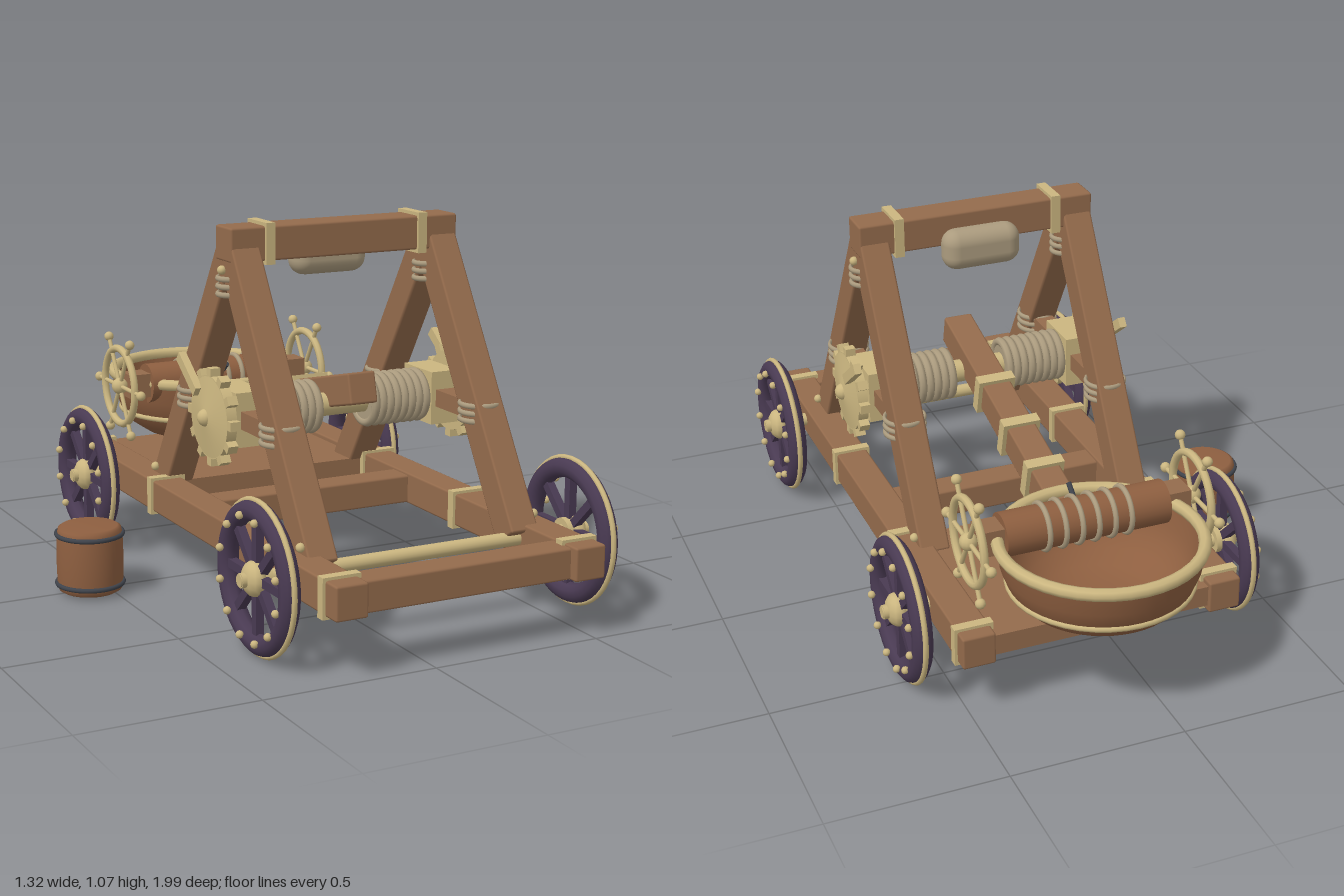
import * as THREE from 'three';
import { RoundedBoxGeometry } from 'three/addons/geometries/RoundedBoxGeometry.js';

const mat = (name, color, side = THREE.FrontSide) => {
  const m = new THREE.MeshStandardMaterial({ color, side });
  m.name = name;
  return m;
};

export function createModel() {
  const wood = mat('timber', 0x946b4c);
  const turned = mat('turned wood', 0x8e5f40, THREE.DoubleSide);
  const brass = mat('brass', 0xcbb680);
  const rope = mat('rope', 0xab9b7e);
  const purple = mat('dark purple', 0x493a52);
  const iron = mat('dark iron', 0x3f434b);

  const root = new THREE.Group();
  root.name = 'siegeEngine';
  const engine = new THREE.Group();
  engine.name = 'engine';
  engine.position.x = 0.117;
  root.add(engine);

  const put = (parent, name, geo, material, x = 0, y = 0, z = 0, rx = 0) => {
    const m = new THREE.Mesh(geo, material);
    m.name = name;
    m.position.set(x, y, z);
    m.rotation.x = rx;
    parent.add(m);
    return m;
  };
  const beam = (w, h, d) => new RoundedBoxGeometry(w, h, d, 1, 0.007);
  const box = (w, h, d) => new THREE.BoxGeometry(w, h, d);
  const ball = (r) => new THREE.SphereGeometry(r, 12, 8);
  const rod = (r, len, seg = 20) => new THREE.CylinderGeometry(r, r, len, seg).rotateZ(Math.PI / 2);
  const ringX = (r, t) => new THREE.TorusGeometry(r, t, 8, 40).rotateY(Math.PI / 2);
  const ringY = (r, t) => new THREE.TorusGeometry(r, t, 8, 40).rotateX(Math.PI / 2);
  const group = (name, x, y, z) => {
    const g = new THREE.Group();
    g.name = name;
    g.position.set(x, y, z);
    engine.add(g);
    return g;
  };

  // Chassis: side rails, cross beams, rear deck
  for (const s of [-1, 1]) {
    put(engine, 'sideRail', beam(0.095, 0.095, 1.73), wood, s * 0.362, 0.212, 0.13);
    for (const z of [0.925, 0.38, -0.15, -0.68])
      put(engine, 'railBand', box(0.111, 0.111, 0.028), brass, s * 0.362, 0.212, z);
  }
  put(engine, 'frontCrossBeam', beam(0.64, 0.088, 0.09), wood, 0, 0.21, 0.925);
  put(engine, 'middleCrossBeam', beam(0.64, 0.085, 0.09), wood, 0, 0.21, 0.08);
  put(engine, 'rearDeck', box(0.64, 0.06, 0.57), wood, 0, 0.215, -0.44);

  // Axles and wheels
  for (const z of [0.717, -0.46]) {
    put(engine, 'axle', rod(0.02, 1.08), brass, 0, 0.215, z);
    for (const s of [-1, 1]) {
      const w = group('wheel', s * 0.488, 0.215, z);
      put(w, 'wheelRim', new THREE.TorusGeometry(0.178, 0.029, 10, 48).rotateY(Math.PI / 2), purple);
      put(w, 'wheelTyre', ringX(0.206, 0.008), brass);
      put(w, 'wheelHub', rod(0.038, 0.056), brass);
      put(w, 'hubDome', ball(0.048), brass, s * 0.012).scale.x = 0.65;
      put(w, 'axleCap', rod(0.017, 0.03), brass, s * 0.04);
      for (let i = 0; i < 8; i++) {
        const a = (i * Math.PI) / 4;
        put(w, 'spoke', box(0.024, 0.14, 0.024), purple, 0, Math.cos(a) * 0.095, Math.sin(a) * 0.095, a);
      }
      for (let i = 0; i < 12; i++) {
        const a = ((i + 0.5) * Math.PI) / 6;
        put(w, 'rimStud', ball(0.011), brass, s * 0.032, Math.cos(a) * 0.168, Math.sin(a) * 0.168);
      }
    }
  }

  // A-frames with lashings, bolts and winch bearings
  const apexZ = 0.247, tilt = Math.atan2(0.47, 0.78);
  const lashing = (x, y, z, rx, rz) => {
    for (let i = -1; i <= 1; i++)
      put(engine, 'lashing', ringY(1, 0.1), rope, x, y + i * 0.022, z).scale.set(rx, 0.08, rz);
  };
  for (const s of [-1, 1]) {
    const x = s * 0.314;
    for (const d of [-1, 1]) {
      put(engine, 'frameLeg', beam(0.088, 0.91, 0.094), wood, x, 0.61, apexZ + d * 0.235, -d * tilt);
      lashing(x, 0.535, apexZ + d * 0.265, 0.058, 0.056);
      put(engine, 'legBolt', ball(0.013), brass, s * 0.364, 0.28, apexZ + d * 0.47);
    }
    lashing(x, 0.9, apexZ, 0.06, 0.046);
    put(engine, 'apexBolt', ball(0.013), brass, s * 0.364, 0.945, apexZ);
    put(engine, 'frameTie', box(0.06, 0.05, 0.5), wood, x, 0.535, apexZ);
    put(engine, 'winchBearing', box(0.09, 0.155, 0.155), brass, x, 0.535, apexZ);
    put(engine, 'topBeamBand', box(0.028, 0.116, 0.116), brass, s * 0.242, 1.017, apexZ);
  }
  put(engine, 'topBeam', beam(0.72, 0.097, 0.1), wood, 0, 1.017, apexZ);
  put(engine, 'stopPad', new RoundedBoxGeometry(0.235, 0.12, 0.09, 4, 0.043), rope, 0, 0.963, 0.18);

  // Torsion shaft, rope coils and ratchet gears
  put(engine, 'torsionShaft', rod(0.034, 0.8), brass, 0, 0.535, apexZ);
  for (const s of [-1, 1]) {
    put(engine, 'coilCore', rod(0.062, 0.18), rope, s * 0.175, 0.535, apexZ);
    for (let i = 0; i < 8; i++)
      put(engine, 'ropeCoil', ringX(0.066, 0.0128), rope, s * (0.092 + i * 0.0238), 0.535, apexZ);
    const g = group('ratchetGear', s * 0.39, 0.535, apexZ);
    put(g, 'gearDisc', rod(0.118, 0.03, 32), brass);
    put(g, 'gearFace', new THREE.ConeGeometry(0.115, 0.018, 32).rotateZ((-s * Math.PI) / 2), brass, s * 0.024);
    put(g, 'gearHub', ball(0.025), brass, s * 0.025);
    for (let i = 0; i < 12; i++) {
      const a = (i * Math.PI) / 6;
      put(g, 'gearTooth', box(0.03, 0.034, 0.026), brass, 0, Math.cos(a) * 0.122, Math.sin(a) * 0.122, a);
    }
    put(g, 'pawl', box(0.022, 0.03, 0.14), brass, s * 0.026, 0.105, -0.105, 0.64);
  }

  // Throwing arm, built along its own length
  const arm = group('throwingArm', 0, 0.51, 0.0);
  arm.rotation.x = -0.242;
  put(arm, 'armBeam', beam(0.088, 0.09, 0.89), wood, 0, 0, -0.035);
  for (const z of [0.085, -0.115, -0.3])
    put(arm, 'armBand', box(0.113, 0.112, 0.034), brass, 0, 0, z);

  // Bowl: an open double wall with brass rim, hoop and boss
  const bowl = group('bowl', 0, 0, -0.7);
  const outer = [[0, 0.24], [0.1, 0.243], [0.17, 0.262], [0.22, 0.295], [0.252, 0.337], [0.272, 0.39], [0.283, 0.455]];
  const inner = [[0.268, 0.455], [0.256, 0.39], [0.236, 0.345], [0.205, 0.308], [0.16, 0.278], [0.1, 0.26], [0, 0.256]];
  const lathe = (pts) => new THREE.LatheGeometry(pts.map(([r, y]) => new THREE.Vector2(r, y)), 48);
  put(bowl, 'bowlOuter', lathe(outer), turned);
  put(bowl, 'bowlInner', lathe(inner), turned);
  put(bowl, 'bowlRim', ringY(0.277, 0.018), brass, 0, 0.457);
  put(bowl, 'bowlHoop', ringY(0.252, 0.009), brass, 0, 0.337);
  put(bowl, 'bowlBoss', ball(0.06), brass, 0, 0.245, -0.01).scale.y = 0.5;

  // Roller across the bowl with rope turns and a hand wheel at each end
  const roller = group('roller', 0, 0.455, -0.575);
  put(roller, 'rollerDrum', rod(0.062, 0.48, 24), turned);
  put(roller, 'rollerShaft', rod(0.014, 0.68), brass);
  for (let i = 0; i < 6; i++)
    put(roller, 'rollerRope', ringX(0.064, 0.008), rope, -0.12 + i * 0.048);
  put(roller, 'ropeHook', new THREE.CylinderGeometry(0.008, 0.008, 0.09, 8), iron, 0, 0.03, 0.06, 0.9);
  for (const s of [-1, 1]) {
    put(roller, 'rollerEnd', box(0.075, 0.075, 0.075), wood, s * 0.272);
    const h = new THREE.Group();
    h.name = 'handWheel';
    h.position.x = s * 0.33;
    roller.add(h);
    put(h, 'handWheelRing', ringX(0.12, 0.012), brass);
    put(h, 'handWheelHub', ball(0.026), brass);
    for (let i = 0; i < 6; i++) {
      const a = (i * Math.PI) / 3 + Math.PI / 2;
      put(h, 'handWheelSpoke', new THREE.CylinderGeometry(0.007, 0.007, 0.165, 8), brass,
        0, Math.cos(a) * 0.083, Math.sin(a) * 0.083, a);
      put(h, 'handWheelKnob', ball(0.015), brass, 0, Math.cos(a) * 0.168, Math.sin(a) * 0.168);
    }
  }

  // Barrel standing beside the engine
  const barrel = new THREE.Group();
  barrel.name = 'barrel';
  barrel.position.set(-0.557, 0, 0.012);
  root.add(barrel);
  put(barrel, 'barrelBody', lathe([[0, 0.006], [0.08, 0.006], [0.09, 0.012], [0.094, 0.03], [0.096, 0.1],
    [0.094, 0.175], [0.09, 0.192], [0.08, 0.198], [0, 0.198]]), turned);
  for (const y of [0.03, 0.175]) put(barrel, 'barrelHoop', ringY(0.095, 0.007), iron, 0, y);

  return root;
}
